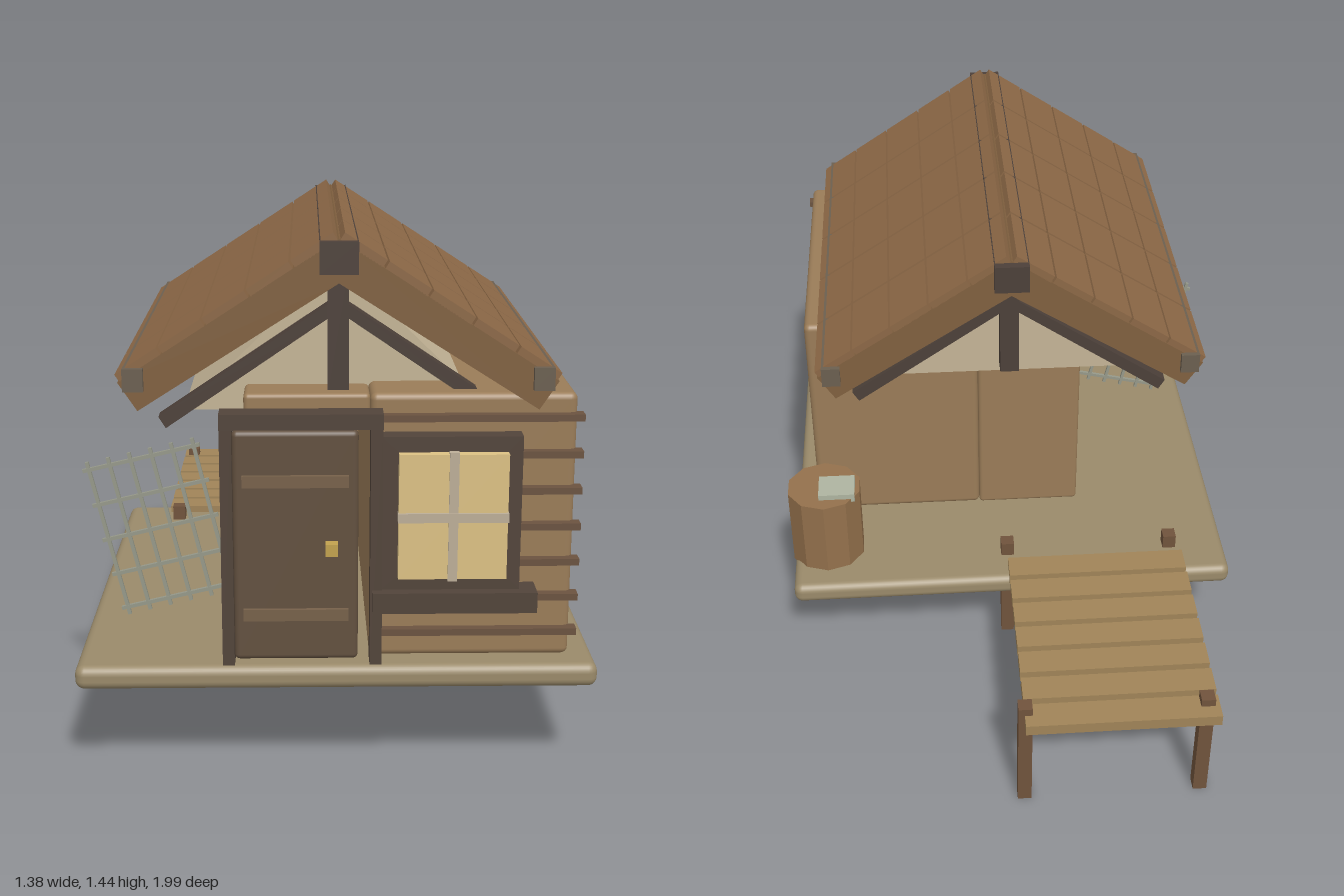
import * as THREE from 'three';
import { RoundedBoxGeometry } from 'three/addons/geometries/RoundedBoxGeometry.js';

const mat = (color, extra = {}) => new THREE.MeshStandardMaterial({ color, ...extra });
const M = {
  base: mat(0x9a8a6a), wall: mat(0x9a7c58), log: mat(0x6b5340), frame: mat(0x52443a),
  door: mat(0x62503f), band: mat(0x77614a), knob: mat(0xc2a24e), pane: mat(0xdcc184),
  mullion: mat(0xbcae98), tile: mat(0x8c6846), rafter: mat(0x80603f), beam: mat(0x4c4039),
  eave: mat(0x6b5f50), gable: mat(0xc4b496), plank: mat(0xa08458), post: mat(0x70533c),
  barrel: mat(0x94714c, { flatShading: true }), lid: mat(0xaeb4a0), trellis: mat(0x96998a),
};

export function createModel() {
  const root = new THREE.Group();
  const add = (name, geometry, material, parent = root) => {
    const mesh = new THREE.Mesh(geometry, material);
    mesh.name = name;
    parent.add(mesh);
    return mesh;
  };
  // Box given by its extents; r > 0 rounds the edges
  const box = (name, material, [x0, x1], [y0, y1], [z0, z1], r = 0, parent = root) => {
    const s = [x1 - x0, y1 - y0, z1 - z0];
    const g = r ? new RoundedBoxGeometry(...s, 3, r) : new THREE.BoxGeometry(...s);
    const mesh = add(name, g, material, parent);
    mesh.position.set((x0 + x1) / 2, (y0 + y1) / 2, (z0 + z1) / 2);
    return mesh;
  };
  const group = (name) => {
    const g = new THREE.Group();
    g.name = name;
    root.add(g);
    return g;
  };
  // Polygon in the xy plane drawn out from z0 to z1
  const prism = (name, material, points, z0, z1, parent = root) => {
    const shape = new THREE.Shape(points.map(([x, y]) => new THREE.Vector2(x, y)));
    const mesh = add(name, new THREE.ExtrudeGeometry(shape, { depth: z1 - z0, bevelEnabled: false }), material, parent);
    mesh.position.z = z0;
    return mesh;
  };

  // Platform and walls
  box('platform', M.base, [-0.685, 0.675], [0.26, 0.325], [-0.37, 0.98], 0.025);
  box('cabinRoom', M.wall, [0.08, 0.605], [0.325, 1.035], [0.01, 0.91], 0.018);
  box('backWall', M.wall, [-0.24, 0.08], [0.325, 1.035], [0.01, 0.07], 0.012);
  box('doorLintel', M.wall, [-0.24, 0.08], [0.95, 1.035], [0.79, 0.91], 0.012);
  prism('gable', M.gable, [[-0.4, 0.96], [0.4, 0.96], [0, 1.35]], -0.15, 0.77);

  // Log strips across the front wall
  const logs = group('logStrips');
  for (let i = 0; i < 7; i++) {
    const y = 0.4 + i * 0.096;
    box('logStrip', M.log, [0.09, 0.62], [y - 0.009, y + 0.009], [0.9, 0.935], 0, logs);
  }

  // Door with frame, bands and knob
  const door = group('door');
  box('doorLeaf', M.door, [-0.27, 0.05], [0.335, 0.95], [0.915, 0.955], 0.014, door);
  for (const y of [0.447, 0.805]) box('doorBand', M.band, [-0.245, 0.025], [y, y + 0.031], [0.95, 0.966], 0, door);
  box('doorKnob', M.knob, [-0.034, -0.002], [0.629, 0.661], [0.95, 0.985], 0, door);
  for (const x of [-0.3, 0.08]) box('doorPost', M.frame, [x, x + 0.031], [0.325, 0.99], [0.91, 0.965], 0, door);
  box('doorHeader', M.frame, [-0.3, 0.111], [0.958, 0.998], [0.91, 0.975], 0, door);

  // Window
  const win = group('window');
  const outer = new THREE.Shape();
  outer.moveTo(0.108, 0.53).lineTo(0.463, 0.53).lineTo(0.463, 0.936).lineTo(0.108, 0.936);
  const hole = new THREE.Path();
  hole.moveTo(0.15, 0.567).lineTo(0.15, 0.896).lineTo(0.426, 0.896).lineTo(0.426, 0.567);
  outer.holes.push(hole);
  add('windowFrame', new THREE.ExtrudeGeometry(outer, { depth: 0.055, bevelEnabled: false }), M.frame, win).position.z = 0.905;
  box('windowPane', M.pane, [0.15, 0.426], [0.567, 0.896], [0.91, 0.985], 0, win);
  box('mullionUpright', M.mullion, [0.276, 0.3], [0.562, 0.902], [0.97, 0.99], 0, win);
  box('mullionBar', M.mullion, [0.148, 0.428], [0.72, 0.744], [0.97, 0.993], 0, win);
  box('windowSill', M.frame, [0.085, 0.507], [0.475, 0.53], [0.905, 0.99], 0, win);

  // Roof: two thick slopes, each with a grid of tiles
  const roof = group('roof');
  const slope = Math.atan2(0.355, 0.547), zA = -0.325, zB = 0.945;
  const rowLength = 0.652 / 5, colLength = (zB - zA) / 5;
  for (const s of [-1, 1]) {
    const points = [[0, 1.43], [0, 1.32], [s * 0.502, 1.0], [s * 0.55, 1.073]];
    prism('roofSlope', M.rafter, points, zA + 0.005, zB - 0.005, roof);
    const tiles = new THREE.Group();
    tiles.name = 'tiles';
    tiles.position.y = 1.428;
    tiles.rotation.z = -s * slope;
    roof.add(tiles);
    for (let r = 0; r < 5; r++) {
      for (let c = 0; c < 5; c++) {
        const u = s * (r + 0.5) * rowLength, z = zA + c * colLength;
        box('tile', M.tile, [u - 0.062, u + 0.062], [0, 0.022], [z + 0.005, z + colLength - 0.005], 0, tiles);
      }
    }
    const e = [0.485, 0.537].map((x) => x * s).sort((a, b) => a - b);
    box('eaveBeam', M.eave, e, [1.052, 1.11], [-0.335, 0.955], 0, roof);
  }
  box('ridgeBeam', M.beam, [-0.048, 0.048], [1.345, 1.425], [-0.345, 0.965], 0, roof);

  // King post and slanted braces at both ends
  for (const z of [-0.22, 0.84]) {
    const truss = group('truss');
    box('kingPost', M.beam, [-0.027, 0.027], [1.02, 1.36], [z - 0.027, z + 0.027], 0, truss);
    for (const s of [-1, 1]) {
      const points = [[s * 0.44, 0.935], [s * 0.458, 0.965], [0, 1.272], [0, 1.236]];
      prism('brace', M.beam, points, z - 0.024, z + 0.024, truss);
    }
  }

  // Barrel with a small box on top
  add('barrel', new THREE.CylinderGeometry(0.115, 0.115, 0.258, 10), M.barrel).position.set(0.57, 0.442, -0.178);
  box('barrelLid', M.lid, [0.475, 0.585], [0.56, 0.588], [-0.248, -0.152]);

  // Jetty behind the platform
  const jetty = group('jetty');
  for (let i = 0; i < 7; i++) {
    const z = -1 + i * 0.1033;
    box('plank', M.plank, [-0.542, 0.008], [0.312, 0.346], [z, z + 0.083], 0, jetty);
  }
  for (const x of [-0.508, 0.006])
    for (const z of [-0.94, -0.24])
      box('jettyPost', M.post, [x - 0.02, x + 0.02], [0, 0.37], [z - 0.02, z + 0.02], 0, jetty);

  // Leaning trellis
  const trellis = group('trellis');
  trellis.position.set(-0.487, 0.584, 0.615);
  trellis.rotation.z = 0.23;
  for (let i = 0; i < 6; i++) {
    const x = -0.148 + i * 0.0592;
    box('trellisUpright', M.trellis, [x - 0.005, x + 0.005], [-0.228, 0.228], [-0.005, 0.005], 0, trellis);
  }
  for (let i = 0; i < 5; i++) {
    const y = -0.206 + i * 0.103;
    box('trellisBar', M.trellis, [-0.165, 0.165], [y - 0.005, y + 0.005], [-0.004, 0.006], 0, trellis);
  }
  return root;
}
